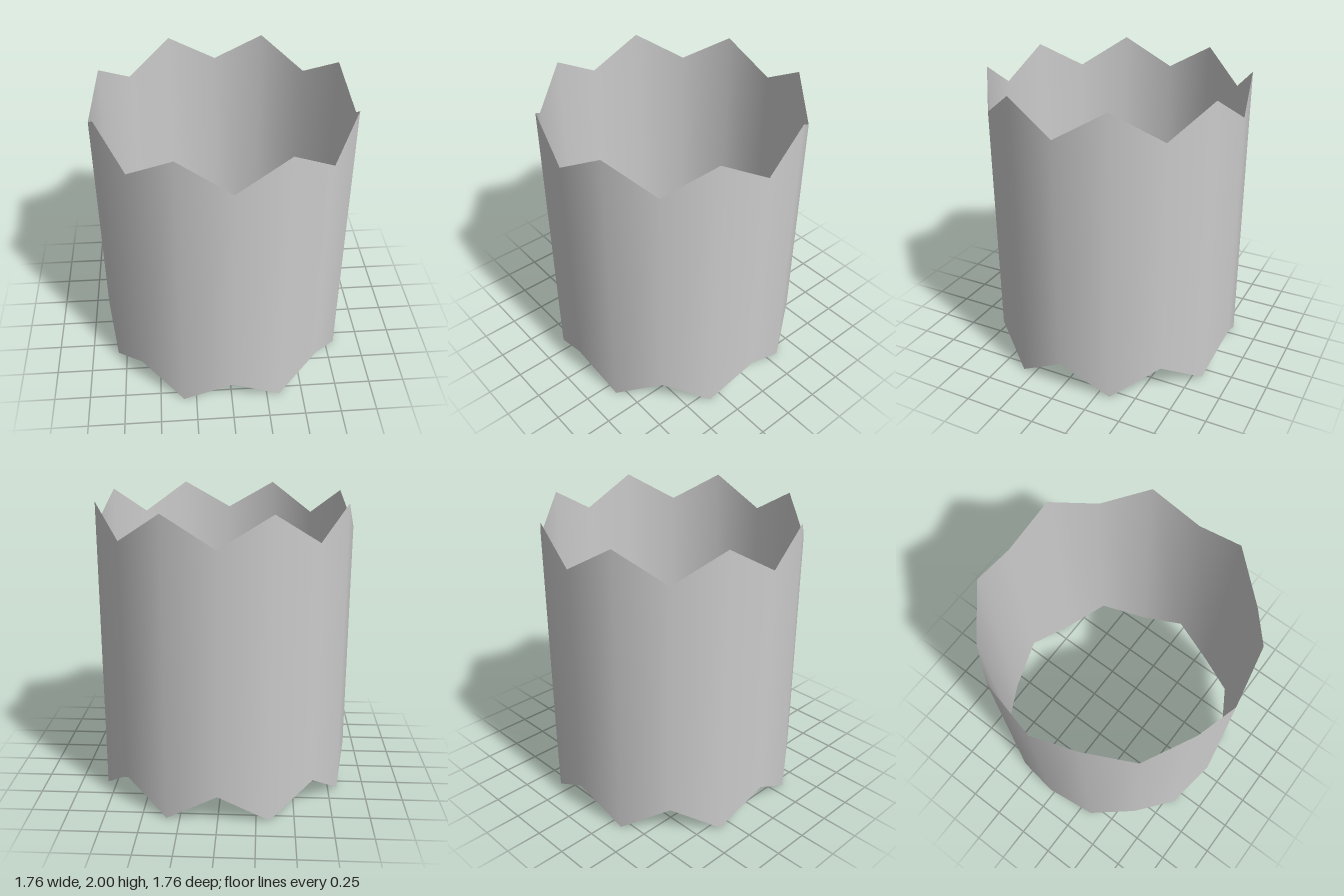
import * as THREE from 'three';

const RADIUS = 0.88, SIDES = 16, VALLEY = 0.8, PEAK = 1;

export function createModel() {
  const group = new THREE.Group();

  // Open tube wall; every second column is stretched into a point at both rims
  const geometry = new THREE.CylinderGeometry(RADIUS, RADIUS, 2 * VALLEY, SIDES, 1, true);
  const pos = geometry.attributes.position;
  for (let i = 0; i < pos.count; i++) {
    const column = i % (SIDES + 1);
    const reach = column % 2 ? PEAK : VALLEY;
    pos.setY(i, Math.sign(pos.getY(i)) * reach + PEAK);
  }

  const material = new THREE.MeshStandardMaterial({ color: 0xcccccc, side: THREE.DoubleSide });
  const wall = new THREE.Mesh(geometry, material);
  wall.name = 'zigzagTube';
  group.add(wall);
  return group;
}
